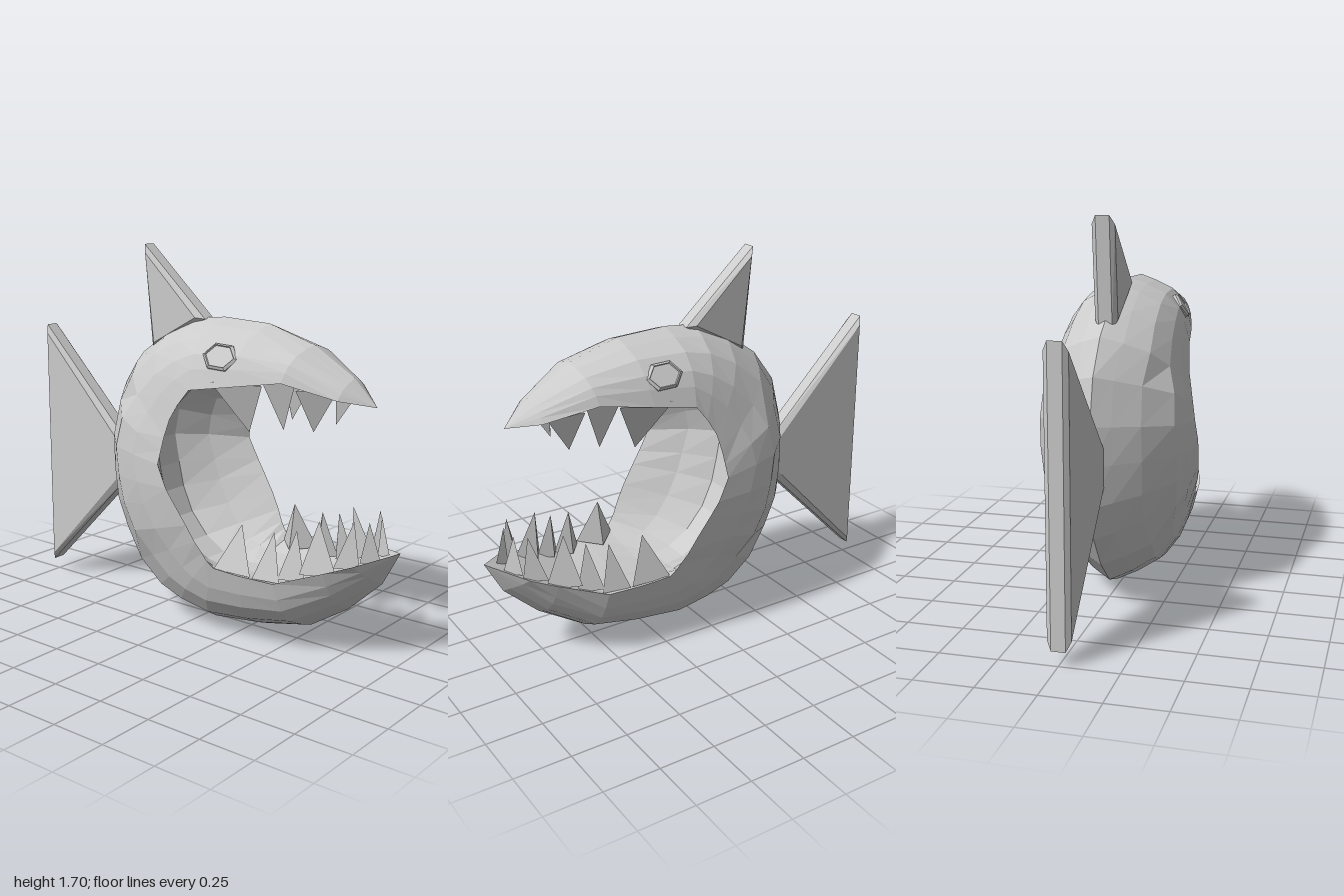
import * as THREE from 'three';

const material = new THREE.MeshStandardMaterial({ color: 0xcccccc, flatShading: true });

// How the half-width grows from the outer ridge to the lip, at the fractions in STEPS
const STEPS = [0, 0.1, 0.25, 0.48, 0.7, 1];
const JAW = [0, 0.29, 0.61, 0.82, 0.92, 1];
const BACK = [0, 0.23, 0.55, 0.9, 0.97, 1];
const CHIN = [0, 0.22, 0.48, 0.72, 0.86, 1];
const PROW = [0, 0.1, 0.27, 0.52, 0.74, 1];

// Cross-sections from upper jaw tip, round the back, to lower jaw tip:
// [outer x, outer y, lip x, lip y, lip half-width, mouth depth, profile]
const SECTIONS = [
  [0.87, 1.09, 0.87, 1.09, 0, 0, CHIN],
  [0.76, 1.20, 0.75, 1.12, 0.115, 0.15, CHIN],
  [0.56, 1.32, 0.53, 1.18, 0.2, 0.2, JAW],
  [0.33, 1.39, 0.30, 1.145, 0.25, 0.22, JAW],
  [0.09, 1.40, 0.11, 1.115, 0.28, 0.28, JAW],
  [-0.06, 1.385, 0.06, 1.05, 0.29, 0.36, JAW],
  [-0.22, 1.32, 0.02, 0.98, 0.30, 0.42, JAW],
  [-0.39, 1.20, 0.00, 0.90, 0.315, 0.45, JAW],
  [-0.50, 1.05, -0.01, 0.84, 0.325, 0.45, BACK],
  [-0.55, 0.85, -0.02, 0.78, 0.335, 0.45, BACK],
  [-0.56, 0.68, 0.03, 0.68, 0.34, 0.45, BACK],
  [-0.55, 0.50, 0.07, 0.62, 0.335, 0.45, BACK],
  [-0.50, 0.35, 0.13, 0.53, 0.325, 0.45, BACK],
  [-0.39, 0.20, 0.17, 0.46, 0.315, 0.42, JAW],
  [-0.25, 0.08, 0.20, 0.41, 0.30, 0.36, JAW],
  [-0.10, 0.03, 0.22, 0.38, 0.295, 0.3, JAW],
  [0.09, 0.00, 0.25, 0.35, 0.285, 0.22, JAW],
  [0.34, 0.03, 0.38, 0.34, 0.275, 0.17, JAW],
  [0.57, 0.08, 0.54, 0.335, 0.255, 0.15, JAW],
  [0.76, 0.20, 0.75, 0.41, 0.195, 0.12, CHIN],
  [0.92, 0.35, 0.86, 0.45, 0.15, 0.1, PROW],
  [1.00, 0.50, 1.00, 0.50, 0, 0, PROW],
];

// Closed ring: outer skin to the lip, then the mouth lining, then mirrored back
function sectionRing([ox, oy, lx, ly, w, depth, profile]) {
  const half = STEPS.map((t, i) => [t, profile[i]]);
  half.push([1 - depth * 0.6, 0.6], [1 - depth, 0.2], [1 - depth, 0]);
  const mirrored = half.slice(1, -1).reverse().map(([t, f]) => [t, -f]);
  return [...half, ...mirrored].map(([t, f]) => [ox + (lx - ox) * t, oy + (ly - oy) * t, w * f]);
}

function createBody() {
  const rings = SECTIONS.map(sectionRing);
  const n = rings[0].length;
  const index = [];
  for (let i = 0; i < rings.length - 1; i++) {
    for (let j = 0; j < n; j++) {
      const k = (j + 1) % n;
      const a = i * n + j, b = (i + 1) * n + j, c = (i + 1) * n + k, d = i * n + k;
      index.push(a, b, d, b, c, d);
    }
  }
  const geometry = new THREE.BufferGeometry();
  geometry.setAttribute('position', new THREE.Float32BufferAttribute(rings.flat(2), 3));
  geometry.setIndex(index);
  geometry.computeVertexNormals();
  return named(geometry, 'body');
}

function named(geometry, name) {
  const mesh = new THREE.Mesh(geometry, material);
  mesh.name = name;
  return mesh;
}

// Flat fin with a bevelled rim, centred on z = 0
function createFin(points, name) {
  const shape = new THREE.Shape(points.map(([x, y]) => new THREE.Vector2(x, y)));
  const geometry = new THREE.ExtrudeGeometry(shape, {
    depth: 0.06, bevelEnabled: true, bevelSegments: 1,
    bevelThickness: 0.02, bevelSize: 0.03, bevelOffset: -0.03,
  });
  geometry.translate(0, 0, -0.03);
  return named(geometry, name);
}

// Three-sided spike with its flat face outward: a unit cone sheared from lip to tip
function createTooth([bx, by, bz, tx, ty, tz, halfWidth, yaw], side, name) {
  const geometry = new THREE.ConeGeometry(1, 1, 3).translate(0, 0.5, 0);
  const base = new THREE.Vector3(bx, by, bz * side);
  const up = new THREE.Vector3(tx, ty, tz * side).sub(base);
  const along = new THREE.Vector3(Math.cos(yaw), 0, -Math.sin(yaw) * side);
  along.multiplyScalar(-side * Math.sign(up.y) * halfWidth * 1.15);
  const across = along.clone().cross(up).normalize().multiplyScalar(halfWidth * 0.6);
  geometry.applyMatrix4(new THREE.Matrix4().makeBasis(along, up, across).setPosition(base));
  geometry.computeVertexNormals();
  return named(geometry, name);
}

// Teeth of one side: [base x, y, z, tip x, y, z, half-width, yaw]
const UPPER_TEETH = [
  [0.32, 1.165, 0.2, 0.345, 0.945, 0.16, 0.12, 0.2],
  [0.50, 1.185, 0.16, 0.50, 0.97, 0.13, 0.075, 0.25],
  [0.65, 1.155, 0.11, 0.62, 0.97, 0.085, 0.085, 0.35],
];
const LOWER_TEETH = [
  [0.33, 0.335, 0.235, 0.34, 0.545, 0.20, 0.095, 0.05],
  [0.49, 0.33, 0.22, 0.50, 0.54, 0.185, 0.065, 0.15],
  [0.60, 0.35, 0.195, 0.60, 0.56, 0.165, 0.06, 0.3],
  [0.71, 0.385, 0.16, 0.69, 0.61, 0.135, 0.08, 0.35],
  [0.82, 0.43, 0.12, 0.84, 0.63, 0.105, 0.055, 0.4],
  [0.89, 0.455, 0.06, 0.88, 0.62, 0.05, 0.045, 0.8],
];

// Six-sided eye with a raised rim and a sunken disc
function createEye(side) {
  const profile = [[0, 0.016], [0.068, 0.016], [0.072, 0.022], [0.086, 0.012], [0.086, -0.03]];
  const geometry = new THREE.LatheGeometry(profile.map(([r, y]) => new THREE.Vector2(r, y)), 6);
  geometry.rotateY(Math.PI / 2).scale(1, 1, 0.77);
  geometry.setIndex([...geometry.index.array].reverse());
  const eye = named(geometry, side > 0 ? 'rightEye' : 'leftEye');
  eye.position.set(0.23, 1.257, 0.208 * side);
  eye.rotation.set(1.03 * side, 0, -0.13);
  return eye;
}

export function createModel() {
  const model = new THREE.Group();
  model.name = 'fish';
  model.add(createBody());
  model.add(createFin([[-1, 1.28], [-1, 0.06], [-0.48, 0.58], [-0.48, 0.76]], 'tailFin'));
  model.add(createFin([[-0.35, 1.7], [-0.305, 1.22], [0, 1.385]], 'dorsalFin'));

  const upper = new THREE.Group();
  upper.name = 'upperTeeth';
  const lower = new THREE.Group();
  lower.name = 'lowerTeeth';
  for (const side of [1, -1]) {
    UPPER_TEETH.forEach((tooth) => upper.add(createTooth(tooth, side, 'upperTooth')));
    LOWER_TEETH.forEach((tooth) => lower.add(createTooth(tooth, side, 'lowerTooth')));
    model.add(createEye(side));
  }
  model.add(upper, lower);
  return model;
}
